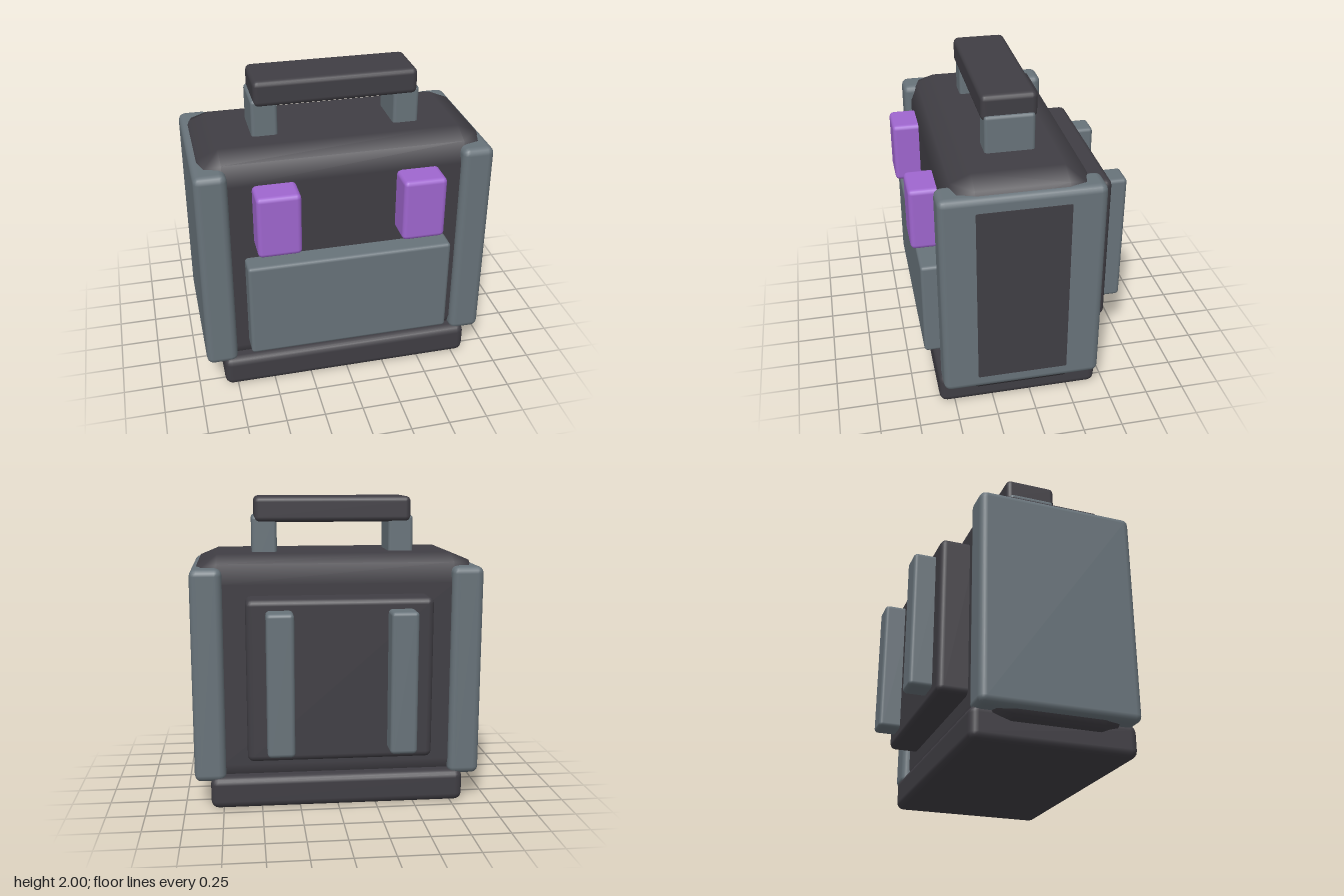
import * as THREE from 'three';
import { RoundedBoxGeometry } from 'three/addons/geometries/RoundedBoxGeometry.js';

function material(name, color) {
  const m = new THREE.MeshStandardMaterial({ color });
  m.name = name;
  return m;
}

export function createModel() {
  const dark = material('charcoal', 0x403e44);
  const grey = material('slate grey', 0x68737a);
  const purple = material('purple', 0x9f66cf);

  const group = new THREE.Group();
  group.name = 'backpack';

  // Bevelled box given by its [min, max] range on each axis
  function block(name, mat, [x0, x1], [y0, y1], [z0, z1], radius, segments = 2) {
    const geo = new RoundedBoxGeometry(x1 - x0, y1 - y0, z1 - z0, segments, radius);
    const mesh = new THREE.Mesh(geo, mat);
    mesh.name = name;
    mesh.position.set((x0 + x1) / 2, (y0 + y1) / 2, (z0 + z1) / 2);
    group.add(mesh);
  }

  // The same block on both sides; shift nudges the pair along x
  function pair(name, mat, [x0, x1], y, z, radius, shift = 0) {
    block(name + 'Left', mat, [x0 + shift, x1 + shift], y, z, radius);
    block(name + 'Right', mat, [-x1 + shift, -x0 + shift], y, z, radius);
  }

  // Main bag with a wide bevel, on a flat base
  block('body', dark, [-0.939, 0.939], [0.1, 1.64], [-0.38, 0.531], 0.177, 1);
  block('base', dark, [-0.832, 0.832], [0, 0.21], [-0.443, 0.597], 0.05);

  // Side plates; the body's flat side just shows through the left one
  pair('sidePlate', grey, [0.735, 0.939], [0.18, 1.565], [-0.427, 0.578], 0.045, -0.003);

  // Front pocket and the two raised blocks above it
  block('frontPocket', grey, [-0.657, 0.657], [0.302, 0.955], [0.45, 0.664], 0.022);
  pair('frontBlock', purple, [0.317, 0.59], [1.048, 1.46], [0.45, 0.706], 0.03, -0.003);

  // Back pad and shoulder straps
  block('backPad', dark, [-0.59, 0.59], [0.355, 1.392], [-0.567, -0.3], 0.04);
  pair('shoulderStrap', grey, [0.297, 0.468], [0.423, 1.325], [-0.706, -0.5], 0.025);

  // Carrying handle
  pair('handlePost', grey, [0.371, 0.537], [1.5, 1.875], [-0.08, 0.232], 0.022);
  block('handleBar', dark, [-0.52, 0.52], [1.833, 2], [-0.097, 0.248], 0.035);

  return group;
}
